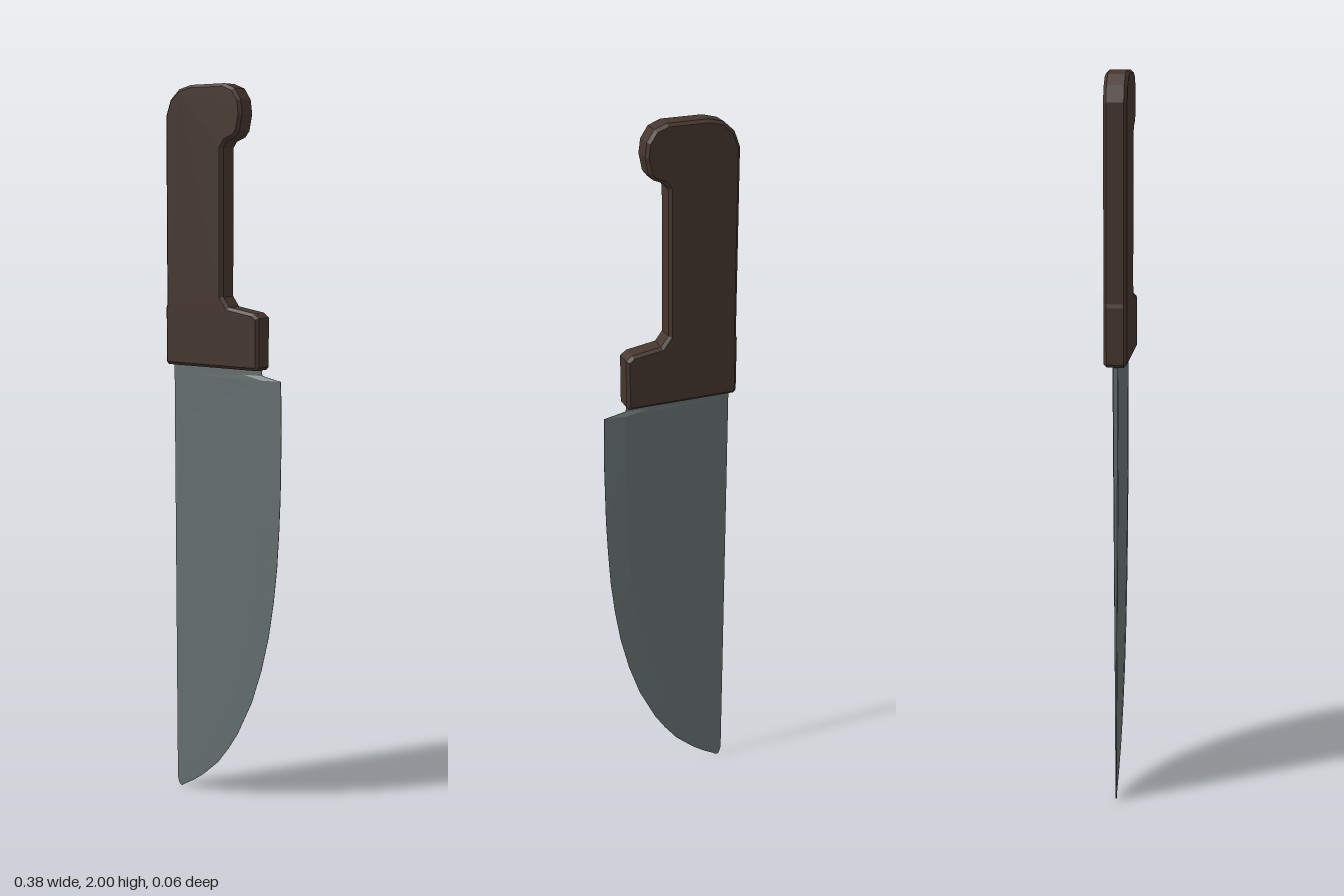
import * as THREE from 'three';

const wood = new THREE.MeshStandardMaterial({ color: 0x46362e, flatShading: true });
wood.name = 'dark brown wood';
const steel = new THREE.MeshStandardMaterial({ color: 0x667070, flatShading: true });
steel.name = 'grey steel';

// Handle: bevelled slab with a rounded butt, finger hook and front guard
function makeHandle() {
  const outline = [
    [-0.182, 1.242], [0.12, 1.242], [0.127, 1.25], [0.127, 1.383], [0.11, 1.396],
    [0.028, 1.409], [0.008, 1.436], [0.008, 1.832], [0.02, 1.849], [0.048, 1.86],
    [0.061, 1.876], [0.07, 1.92], [0.065, 1.957], [0.045, 1.987], [0.012, 2],
    [-0.1, 2], [-0.14, 1.99], [-0.17, 1.963], [-0.186, 1.92], [-0.186, 1.41],
    [-0.189, 1.4], [-0.189, 1.25],
  ].map(([x, y]) => new THREE.Vector2(x, y));
  const bevel = 0.008;
  const depth = 0.061;
  const geometry = new THREE.ExtrudeGeometry(new THREE.Shape(outline), {
    depth: depth - 2 * bevel,
    bevelThickness: bevel,
    bevelSize: bevel,
    bevelOffset: -bevel,
    bevelSegments: 1,
  });
  geometry.translate(0, 0, bevel - depth / 2);
  const mesh = new THREE.Mesh(geometry, wood);
  mesh.name = 'handle';
  return mesh;
}

// Blade: loft of wedge sections, thinning toward the cutting edge and the tip
function makeBlade() {
  // height, spine x, cutting edge x
  const rows = [
    [0, -0.164, -0.158], [0.006, -0.17, -0.15], [0.025, -0.175, -0.118],
    [0.05, -0.175, -0.083], [0.1, -0.175, -0.028], [0.15, -0.175, 0.01],
    [0.2, -0.175, 0.042], [0.3, -0.175, 0.09], [0.4, -0.175, 0.123],
    [0.5, -0.175, 0.147], [0.6, -0.175, 0.163], [0.7, -0.175, 0.174],
    [0.8, -0.175, 0.18], [0.9, -0.175, 0.184], [1.08, -0.175, 0.186],
    [1.215, -0.175, 0.183], [1.227, -0.175, 0.122], [1.25, -0.175, 0.118],
  ];
  const positions = [];
  const indices = [];
  const ring = 8;

  rows.forEach(([y, spine, edge]) => {
    const width = edge - spine;
    const thin = 0.15 + 0.85 * y / 1.25;
    const half = [
      [spine, 0.006],
      [spine + Math.min(0.01, 0.3 * width), 0.009],
      [edge - Math.min(0.06, 0.35 * width), 0.006],
      [edge, 0.001],
    ].map(([x, z]) => [x, z * thin]);
    half.forEach(([x, z]) => positions.push(x, y, z));
    half.reverse().forEach(([x, z]) => positions.push(x, y, -z));
  });

  // Walls between neighbouring sections
  for (let r = 0; r < rows.length - 1; r++) {
    for (let i = 0; i < ring; i++) {
      const a = r * ring + i;
      const b = r * ring + (i + 1) % ring;
      indices.push(a, b, b + ring, a, b + ring, a + ring);
    }
  }
  // End caps
  const top = (rows.length - 1) * ring;
  for (let i = 1; i < ring - 1; i++) {
    indices.push(0, i + 1, i, top, top + i, top + i + 1);
  }

  const geometry = new THREE.BufferGeometry();
  geometry.setAttribute('position', new THREE.Float32BufferAttribute(positions, 3));
  geometry.setIndex(indices);
  const flat = geometry.toNonIndexed();
  flat.computeVertexNormals();
  const mesh = new THREE.Mesh(flat, steel);
  mesh.name = 'blade';
  return mesh;
}

export function createModel() {
  const model = new THREE.Group();
  model.name = 'kitchen knife';
  model.add(makeHandle(), makeBlade());
  return model;
}
